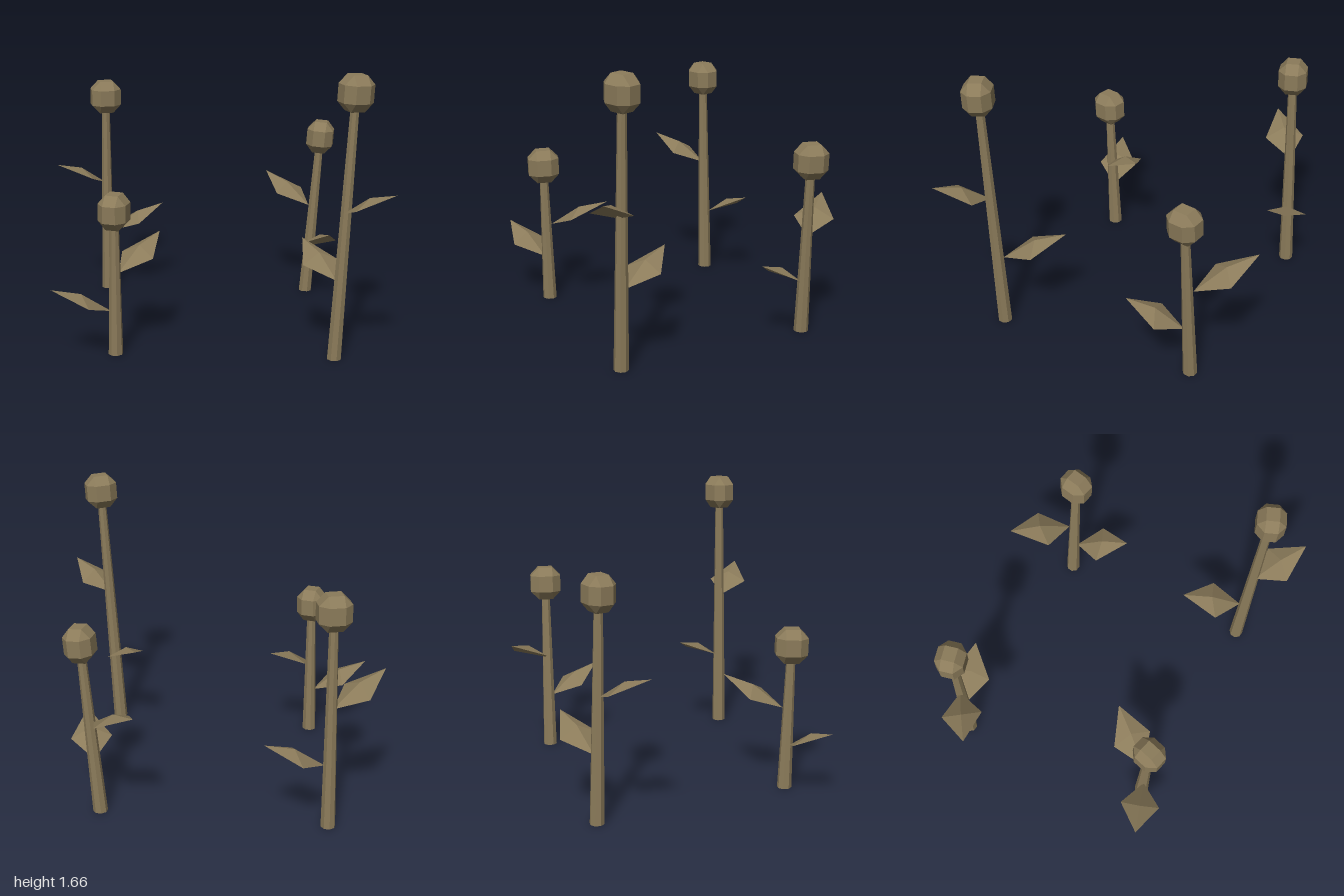
import * as THREE from 'three';
import { ConvexGeometry } from 'three/addons/geometries/ConvexGeometry.js';

const material = new THREE.MeshStandardMaterial({ color: 0x8b7b5a, flatShading: true });
const leafMaterial = new THREE.MeshStandardMaterial({ color: 0x8b7b5a, flatShading: true, side: THREE.DoubleSide });
const UP = new THREE.Vector3(0, 1, 0);

// Each plant: stem foot, head centre, head yaw in degrees, leaves as [base, tip]
const PLANTS = [
  {
    foot: [0.6, 0, 0.7], head: [0.67, 1.56, 0.74], yaw: 8,
    leaves: [[[0.61, 0.465, 0.68], [0.52, 0.625, 0.32]], [[0.62, 0.875, 0.73], [0.83, 1.035, 0.99]]],
  },
  {
    foot: [-0.45, 0, -0.87], head: [-0.45, 1.31, -0.835], yaw: 0,
    leaves: [[[-0.42, 0.395, -0.865], [-0.07, 0.56, -0.88]], [[-0.46, 0.735, -0.85], [-0.79, 0.9, -0.72]]],
  },
  {
    foot: [-0.61, 0, 0.32], head: [-0.61, 0.87, 0.35], yaw: 60,
    leaves: [[[-0.635, 0.27, 0.335], [-0.985, 0.435, 0.36]], [[-0.585, 0.49, 0.315], [-0.295, 0.66, 0.095]]],
  },
  {
    foot: [0.82, 0, -0.49], head: [0.89, 1.055, -0.455], yaw: 65,
    leaves: [[[0.84, 0.32, -0.455], [0.85, 0.485, -0.12]], [[0.835, 0.585, -0.5], [0.64, 0.755, -0.83]]],
  },
];

// Bud: box with every edge and corner cut off
function budGeometry() {
  const half = [0.093, 0.102, 0.083];
  const inner = [0.043, 0.05, 0.038];
  const points = [];
  for (let axis = 0; axis < 3; axis++) {
    for (const sx of [-1, 1]) for (const sy of [-1, 1]) for (const sz of [-1, 1]) {
      const size = inner.map((v, i) => (i === axis ? half[i] : v));
      points.push(new THREE.Vector3(sx * size[0], sy * size[1], sz * size[2]));
    }
  }
  return new ConvexGeometry(points);
}

// Leaf: pointed sheet of four facets meeting at a raised middle
function leafGeometry(base, tip) {
  const a = new THREE.Vector3(...base);
  const b = new THREE.Vector3(...tip);
  const side = b.clone().sub(a).cross(UP).setLength(0.12);
  const middle = a.clone().lerp(b, 0.45).addScaledVector(UP, -0.008);
  const right = middle.clone().add(side);
  const left = middle.clone().sub(side);
  const ridge = a.clone().lerp(b, 0.5).addScaledVector(UP, 0.04);
  const rim = [a, right, b, left];
  const points = rim.flatMap((p, i) => [ridge, p, rim[(i + 1) % 4]]);
  const geometry = new THREE.BufferGeometry().setFromPoints(points);
  geometry.computeVertexNormals();
  return geometry;
}

function addMesh(parent, name, geometry, mat = material) {
  const mesh = new THREE.Mesh(geometry, mat);
  mesh.name = name;
  parent.add(mesh);
  return mesh;
}

export function createModel() {
  const model = new THREE.Group();
  model.name = 'plants';
  const bud = budGeometry();

  for (const { foot, head, yaw, leaves } of PLANTS) {
    const plant = new THREE.Group();
    plant.name = 'plant';
    model.add(plant);

    const start = new THREE.Vector3(...foot);
    const end = new THREE.Vector3(...head);
    const axis = end.clone().sub(start);
    const lean = new THREE.Quaternion().setFromUnitVectors(UP, axis.clone().normalize());

    // Tapered stem, leaning by a shear so that its foot stays flat
    const stemGeometry = new THREE.CylinderGeometry(0.025, 0.043, axis.y, 8);
    stemGeometry.translate(0, axis.y / 2, 0);
    const pos = stemGeometry.attributes.position;
    for (let i = 0; i < pos.count; i++) {
      const t = pos.getY(i) / axis.y;
      pos.setX(i, pos.getX(i) + axis.x * t);
      pos.setZ(i, pos.getZ(i) + axis.z * t);
    }
    stemGeometry.computeVertexNormals();
    addMesh(plant, 'stem', stemGeometry).position.copy(start);

    // Bud on top
    const budMesh = addMesh(plant, 'bud', bud);
    budMesh.position.copy(end);
    budMesh.quaternion.copy(lean);
    budMesh.rotateY(THREE.MathUtils.degToRad(yaw));

    // Two leaves, lower and upper
    for (const [base, tip] of leaves) addMesh(plant, 'leaf', leafGeometry(base, tip), leafMaterial);
  }
  return model;
}
